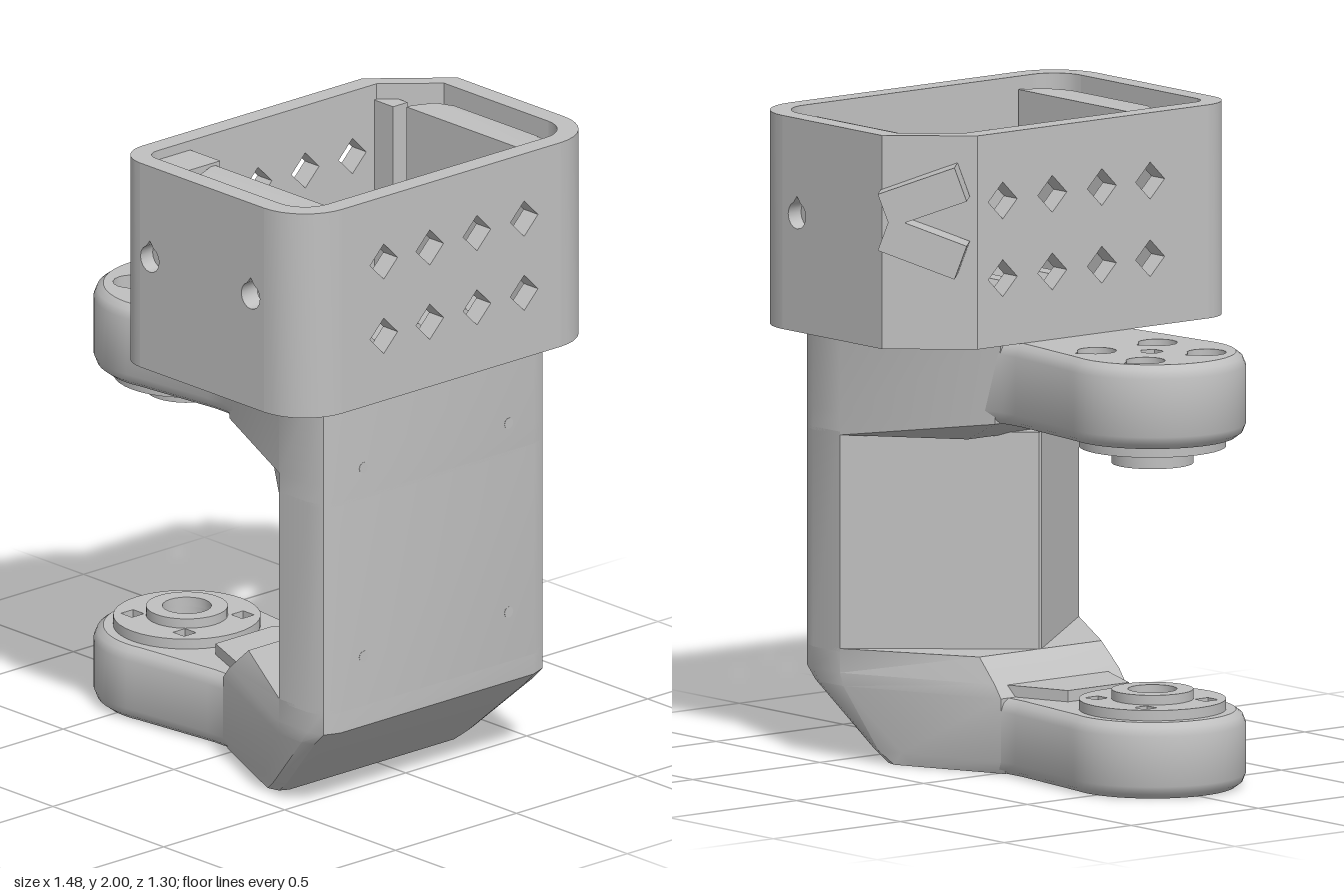
import * as THREE from 'three';
import { toCreasedNormals } from 'three/addons/utils/BufferGeometryUtils.js';

const grey = new THREE.MeshStandardMaterial({ color: 0xc0c0c0 });
grey.name = 'plastic grey';
const V = (x, y) => new THREE.Vector2(x, y);
const ZC = 0.025; // symmetry plane of the bracket
const HUB = -0.46; // x of the pivot

// Plan outlines are (x, -z), counter-clockwise seen from above.
const mirrored = (half) => [
  ...half.map(([x, h]) => V(x, -ZC - h)),
  ...half.slice().reverse().map(([x, h]) => V(x, -ZC + h)),
];
const circle = (x, z, r, n, turn = 0) => Array.from({ length: n }, (_, i) => {
  const a = turn + (i / n) * Math.PI * 2;
  return V(x + r * Math.cos(a), -z + r * Math.sin(a));
});
// Round hole with a pointed end
const teardrop = (x, y, r) => circle(x, -y, r, 16).map((p, i) => (i === 4 ? V(x, y + r * 1.4) : p));

function add(group, name, geo) {
  const mesh = new THREE.Mesh(toCreasedNormals(geo, 0.6), grey);
  mesh.name = name;
  group.add(mesh);
  return mesh;
}

// Extrude an outline with holes
function plate(points, depth, holes = []) {
  const shape = new THREE.Shape(points);
  shape.holes = holes.map((h) => new THREE.Path(h));
  return new THREE.ExtrudeGeometry(shape, { depth, bevelEnabled: false });
}
const slab = (points, y0, y1, holes) => plate(points, y1 - y0, holes).rotateX(-Math.PI / 2).translate(0, y0, 0);

// Skin through outlines stacked in y, optionally capped
function loft(levels, capped = true) {
  const pos = [];
  const put = (k, i) => {
    const [y, ring] = levels[k];
    const p = ring[i % ring.length];
    pos.push(p.x, y, -p.y);
  };
  const n = levels[0][1].length;
  for (let k = 0; k + 1 < levels.length; k++) {
    for (let i = 0; i < n; i++) {
      put(k, i); put(k, i + 1); put(k + 1, i + 1);
      put(k, i); put(k + 1, i + 1); put(k + 1, i);
    }
  }
  if (capped) {
    const last = levels.length - 1;
    THREE.ShapeUtils.triangulateShape(levels[0][1], []).forEach(([a, b, c]) => { put(0, a); put(0, c); put(0, b); });
    THREE.ShapeUtils.triangulateShape(levels[last][1], []).forEach(([a, b, c]) => { put(last, a); put(last, b); put(last, c); });
  }
  const geo = new THREE.BufferGeometry();
  geo.setAttribute('position', new THREE.Float32BufferAttribute(pos, 3));
  return geo;
}

// Keyhole-shaped arm outline, inset by d
function armOutline(d) {
  const half = [];
  for (let i = 0; i <= 16; i++) {
    const t = 0.05 + (i / 16) * 1.75;
    half.push([HUB - Math.cos(t) * (0.285 - d), Math.sin(t) * (0.285 - d)]);
  }
  half.push([-0.1, 0.245 - d], [-0.03, 0.245 - d], [0.1, 0.28 - d]);
  return mirrored(half);
}

// Arm with counterbored bolt holes; dir is the direction from outer face to hub
function buildArm(name, outer, inner, dir, ringHeight) {
  const arm = new THREE.Group();
  arm.name = name;
  const bolts = [-0.58, -0.345].flatMap((x) => [-0.1, 0.14].map((z) => [x, z]));
  const bores = bolts.map(([x, z]) => teardrop(x, -z, 0.06));
  const pins = bolts.map(([x, z]) => circle(x, z, 0.035, 4, Math.PI / 4));
  const span = (outline, a, b, holes) => slab(outline, Math.min(a, b), Math.max(a, b), holes);
  const centre = dir < 0 ? [circle(HUB, 0.02, 0.038, 5, Math.PI / 2)] : [];
  const step = outer + dir * 0.08;
  const core = armOutline(0.03);
  add(arm, 'armOuterLayer', span(core, outer, step, [...bores, ...centre]));
  add(arm, 'armInnerLayer', span(core, step, inner, pins));
  const [lo, hi] = [Math.min(outer, inner), Math.max(outer, inner)];
  add(arm, 'armRoundedSide', loft([
    [lo, armOutline(0.03)], [lo + 0.015, armOutline(0.01)], [lo + 0.04, armOutline(0)],
    [hi - 0.04, armOutline(0)], [hi - 0.015, armOutline(0.01)], [hi, armOutline(0.03)],
  ], false));
  const face = inner + dir * 0.032;
  add(arm, 'hubDisc', span(circle(HUB, 0.025, 0.225, 40), inner, face, [...pins, circle(HUB, 0.025, 0.075, 24)]));
  add(arm, 'hubRing', span(circle(HUB, 0.025, 0.125, 32), face, face + dir * ringHeight, [circle(HUB, 0.025, 0.075, 24)]));
  return arm;
}

function buildColumn() {
  const column = new THREE.Group();
  column.name = 'column';
  const section = (x, h) => mirrored([[x, h], [0.47, 0.47], [0.6, 0.47], [0.65, 0.452], [0.67, 0.4]]);
  // Foot with chamfered underside
  add(column, 'foot', loft([
    [0.001, mirrored([[-0.03, 0.225], [0.25, 0.35], [0.32, 0.38], [0.36, 0.37], [0.375, 0.34]])],
    [0.04, mirrored([[-0.03, 0.245], [0.29, 0.375], [0.37, 0.4], [0.41, 0.385], [0.425, 0.35]])],
    [0.235, mirrored([[-0.03, 0.245], [0.46, 0.465], [0.57, 0.47], [0.61, 0.452], [0.63, 0.4]])],
    [0.275, section(0, 0.245)], [0.35, section(0.08, 0.24)],
  ]));
  // Wedge-backed upright
  add(column, 'post', loft([[0.34, section(0.08, 0.005)], [1.02, section(0.08, 0.005)]]));
  add(column, 'shoulder', loft([
    [1.01, section(0.16, 0.22)], [1.08, section(0, 0.245)], [1.34, section(-0.03, 0.245)],
  ]));
  // Raised web on the lower arm
  add(column, 'footWeb', slab(mirrored([[-0.2, 0.12], [0.1, 0.24]]), 0.22, 0.27));
  // Screw points on the outer face
  for (const y of [0.5, 1.11]) for (const z of [-0.27, 0.33]) {
    add(column, 'screwPoint', new THREE.CylinderGeometry(0.018, 0.018, 0.006, 10).rotateZ(Math.PI / 2).translate(0.668, y, z));
  }
  return column;
}

function buildCollar() {
  const collar = new THREE.Group();
  collar.name = 'collar';
  const Y0 = 1.34, Y1 = 2, T = 0.065;
  const rect = (a, b) => [V(a, Y0), V(b, Y0), V(b, Y1), V(a, Y1)];
  // Side walls with diamond vents; panel x is -z
  const vents = [1.55, 1.79].flatMap((y) => [0.31, 0.12, -0.075, -0.27].map((z) => circle(-z, -y, 0.057, 4)));
  add(collar, 'leftWall', plate(rect(-0.48, 0.42), T, vents).rotateY(Math.PI / 2).translate(0.675, 0, 0));
  add(collar, 'rightWall', plate(rect(-0.54, 0.37), T, vents).rotateY(Math.PI / 2).translate(-0.1, 0, 0));
  // Front and back walls with screw holes
  const hole = (x) => teardrop(x, 1.7, 0.042);
  add(collar, 'frontWall', plate(rect(0.01, 0.57), T, [hole(0.055), hole(0.51)]).translate(0, 0, 0.585));
  add(collar, 'backWall', plate(rect(0.09, 0.57), T, [hole(0.5)]).translate(0, 0, -0.59));
  // Rounded corners
  const corner = (x, z, radius, start) => {
    const arc = (r) => Array.from({ length: 9 }, (_, i) => {
      const a = start + (i / 8) * Math.PI / 2;
      return V(x + r * Math.cos(a), -z + r * Math.sin(a));
    });
    add(collar, 'roundedCorner', slab([...arc(radius), ...arc(radius - T).reverse()], Y0, Y1));
  };
  corner(0.57, -0.42, 0.17, 0);
  corner(0.01, 0.54, 0.11, Math.PI);
  corner(0.57, 0.48, 0.17, Math.PI * 1.5);
  // Cut-off corner carrying the clip
  add(collar, 'cutCorner', slab([V(-0.1, 0.37), V(-0.035, 0.37), V(0.1, 0.525), V(0.09, 0.59)], Y0, Y1));
  for (const s of [1, -1]) {
    const clip = add(collar, 'clipJaw', new THREE.BoxGeometry(0.25, 0.11, 0.095));
    clip.position.set(-0.028, 1.745 + s * 0.078, -0.522);
    clip.rotation.set(0, Math.PI / 4, s * -0.35);
  }
  return collar;
}

function buildCradle() {
  const cradle = new THREE.Group();
  cradle.name = 'cradle';
  const box = (name, x0, x1, y0, y1, z0, z1) => add(cradle, name,
    new THREE.BoxGeometry(x1 - x0, y1 - y0, z1 - z0).translate((x0 + x1) / 2, (y0 + y1) / 2, (z0 + z1) / 2));
  const half = [[0.1, 0.45], [0.13, 0.52], [0.19, 0.545], [0.56, 0.545], [0.63, 0.51], [0.67, 0.44]];
  add(cradle, 'cradleFloor', slab(mirrored(half), 1.335, 1.41));
  // End cheeks with rounded tops
  for (const s of [1, -1]) {
    const cheek = (d) => {
      const pts = half.map(([x, h]) => V(x, -ZC - s * (h - d)));
      pts.push(V(0.67, -ZC - s * 0.395), V(0.1, -ZC - s * 0.395));
      return s > 0 ? pts : pts.reverse();
    };
    add(cradle, 'endCheek', loft([[1.4, cheek(0)], [1.91, cheek(0)], [1.945, cheek(0.012)], [1.96, cheek(0.035)]]));
  }
  // Saw-tooth ribs across the floor, the inner ones running out over the neck; profile x is -z
  for (const [z, x0] of [[-0.31, 0.1], [-0.115, -0.03], [0.08, -0.03], [0.275, 0.1]]) {
    const tooth = [V(-z - 0.07, 1.37), V(-z + 0.125, 1.37), V(-z + 0.125, 1.42), V(-z + 0.08, 1.47),
      V(-z + 0.0275, 1.47), V(-z - 0.0275, 1.42), V(-z - 0.07, 1.42)];
    add(cradle, 'floorRib', plate(tooth, 0.56 - x0).rotateY(Math.PI / 2).translate(x0, 0, 0));
  }
  box('neckFloor', -0.04, 0.11, 1.335, 1.375, -0.22, 0.26);
  // Corner fillers
  box('frontCornerBlock', -0.05, 0.1, 1.345, 1.97, 0.4, 0.6);
  box('backCornerPost', -0.04, 0.05, 1.345, 1.95, -0.42, -0.36);
  box('backLedge', 0.1, 0.55, 1.345, 1.93, -0.54, -0.5);
  return cradle;
}

export function createModel() {
  const model = new THREE.Group();
  model.name = 'yokeBracket';
  model.add(
    buildArm('lowerArm', 0, 0.235, 1, 0.03),
    buildArm('upperArm', 1.34, 1.08, -1, 0.052),
    buildColumn(),
    buildCollar(),
    buildCradle(),
  );
  return model;
}
